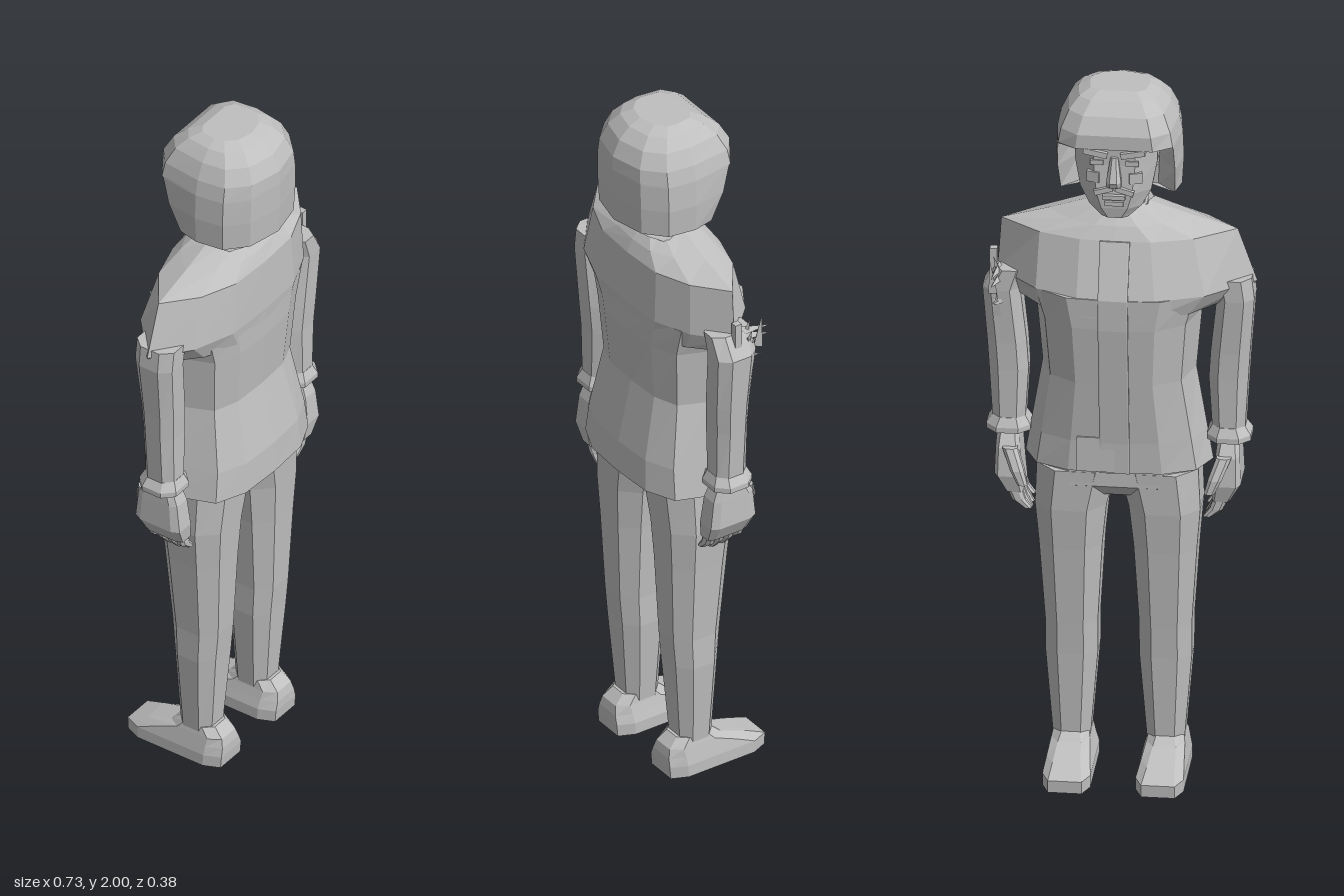
import * as THREE from 'three';

const grey = new THREE.MeshStandardMaterial({ color: 0xbfbfbf, flatShading: true });
grey.name = 'plain grey';
const greySheet = new THREE.MeshStandardMaterial({ color: 0xbfbfbf, flatShading: true, side: THREE.DoubleSide });
greySheet.name = 'plain grey';

// Skin a stack of rings (bottom to top, each running from +x towards +z) and cap both ends
function loft(rings) {
  const n = rings[0].length, pos = rings.flat(2), idx = [];
  for (let i = 0; i < rings.length - 1; i++) {
    for (let j = 0; j < n; j++) {
      const a = i * n + j, b = i * n + (j + 1) % n;
      idx.push(a, a + n, b, b, a + n, b + n);
    }
  }
  const top = (rings.length - 1) * n;
  for (const [ring, base, up] of [[rings[0], 0, false], [rings.at(-1), top, true]]) {
    const c = pos.length / 3;
    for (let k = 0; k < 3; k++) pos.push(ring.reduce((s, p) => s + p[k], 0) / n);
    for (let j = 0; j < n; j++) {
      const a = base + j, b = base + (j + 1) % n;
      if (up) idx.push(a, c, b); else idx.push(a, b, c);
    }
  }
  const g = new THREE.BufferGeometry();
  g.setAttribute('position', new THREE.Float32BufferAttribute(pos, 3));
  g.setIndex(idx);
  const flat = g.toNonIndexed();
  flat.computeVertexNormals();
  return flat;
}

// Eight-sided ring inside a box; k sets how square the corners are
const oct = (y, x0, x1, z0, z1, k = 0.5) => {
  const cx = (x0 + x1) / 2, cz = (z0 + z1) / 2, w = (x1 - x0) / 2, d = (z1 - z0) / 2;
  return [[1, -k], [1, k], [k, 1], [-k, 1], [-1, k], [-1, -k], [-k, -1], [k, -1]]
    .map(([u, v]) => [cx + u * w, y, cz + v * d]);
};

// Symmetric ring from half-outline factors; back is +z, front is -z
const bodyRing = (outline, y, w, zBack, zFront, zMid = 0.015, wLeft = w) => {
  const left = outline.map(([u, v]) => [u * wLeft, v]);
  const right = outline.slice(1, -1).reverse().map(([u, v]) => [-u * w, v]);
  // outline runs from front centre round the +x side to back centre
  return [...left, ...right].map(([x, v]) => [x, y, zMid + (v > 0 ? v * (zBack - zMid) : -v * (zFront - zMid))]);
};

const TRUNK = [[0, -1], [0.5, -0.96], [0.85, -0.65], [1, 0], [0.84, 0.72], [0.5, 0.96], [0, 1]];
const YOKE = [[0, -1], [0.3, -0.97], [0.65, -0.68], [1, 0], [0.72, 0.62], [0.4, 0.95], [0, 1]];

export function createModel() {
  const model = new THREE.Group();
  const add = (name, geo, parent = model, mat = grey) => {
    const m = new THREE.Mesh(geo, mat);
    m.name = name;
    parent.add(m);
    return m;
  };
  const box = (name, w, h, d, x, y, z, parent = model) => {
    const m = add(name, new THREE.BoxGeometry(w, h, d), parent);
    m.position.set(x, y, z);
    return m;
  };

  // Jacket body and the broad shoulder yoke; its left side is torn in
  add('jacketBody', loft([
    [0.91, 0.25, 0.17, -0.105], [1.0, 0.235, 0.165, -0.11], [1.18, 0.205, 0.125, -0.13],
    [1.35, 0.22, 0.14, -0.15], [1.44, 0.25, 0.142, -0.155],
  ].map(([y, w, b, f]) => bodyRing(TRUNK, y, w, b, f))));
  add('shoulderYoke', loft([
    [1.385, 0.3, 0.14, -0.152, 0.29], [1.44, 0.367, 0.144, -0.152, 0.325], [1.59, 0.315, 0.137, -0.1, 0.315],
    [1.625, 0.19, 0.12, -0.08, 0.19], [1.66, 0.08, 0.09, -0.05, 0.08],
  ].map(([y, w, b, f, wl]) => bodyRing(YOKE, y, w, b, f, 0.015, wl))));

  // Front placket following the chest
  const strip = [[0.91, -0.105], [1.0, -0.11], [1.18, -0.13], [1.35, -0.15], [1.44, -0.153], [1.59, -0.1]];
  add('jacketPlacket', loft(strip.map(([y, z]) => oct(y, -0.04, 0.04, z - 0.004, z + 0.015, 0.9))));
  box('hemFlap', 0.1, 0.1, 0.008, 0.05, 0.965, -0.109);

  // Collar and neck
  const collar = add('collar', new THREE.CylinderGeometry(0.08, 0.095, 0.045, 10, 1, true), model, greySheet);
  collar.position.set(0, 1.65, 0.03);
  collar.rotation.x = -0.4;
  add('neck', loft([oct(1.6, -0.07, 0.07, -0.03, 0.08), oct(1.76, -0.065, 0.065, -0.02, 0.07)]));

  // Trousers
  add('trouserSeat', loft([
    oct(0.82, -0.1, 0.1, -0.05, 0.07), oct(0.86, -0.205, 0.205, -0.088, 0.115, 0.6),
    oct(0.95, -0.2, 0.2, -0.09, 0.125, 0.6),
  ]));

  for (const s of [1, -1]) {
    const side = s > 0 ? 'left' : 'right';
    // Rings are given for +x and mirrored for the other side
    const ring = (y, x0, x1, z0, z1, k) => s > 0 ? oct(y, x0, x1, z0, z1, k) : oct(y, -x1, -x0, z0, z1, k);

    add(side + 'TrouserLeg', loft([
      ring(0.09, 0.075, 0.175, -0.03, 0.07), ring(0.34, 0.055, 0.195, -0.043, 0.09),
      ring(0.43, 0.055, 0.195, -0.05, 0.098), ring(0.66, 0.042, 0.21, -0.07, 0.108),
      ring(0.78, 0.03, 0.22, -0.083, 0.115), ring(0.9, 0.0, 0.215, -0.09, 0.122),
    ]));

    // Shoe: sole, upper sloping to the toe, ankle opening
    add(side + 'Shoe', loft([
      ring(0, 0.06, 0.188, -0.188, 0.112, 0.7), ring(0.035, 0.06, 0.188, -0.19, 0.115, 0.7),
      ring(0.06, 0.068, 0.183, -0.13, 0.114, 0.65), ring(0.085, 0.075, 0.178, -0.055, 0.108, 0.6),
      ring(0.11, 0.08, 0.172, -0.025, 0.08, 0.5),
    ]));

    // Sleeve and flared cuff
    add(side + 'Sleeve', loft([
      ring(0.99, 0.25, 0.335, -0.028, 0.065), ring(1.16, 0.24, 0.345, -0.03, 0.066),
      ring(1.24, 0.245, 0.35, -0.033, 0.07), ring(1.4, 0.262, 0.362, -0.045, 0.075),
      ring(1.46, 0.25, s > 0 ? 0.325 : 0.355, -0.045, 0.075),
    ]));
    add(side + 'Cuff', loft([
      ring(0.98, 0.235, 0.352, -0.042, 0.077), ring(0.995, 0.235, 0.352, -0.042, 0.077),
      ring(1.02, 0.25, 0.335, -0.03, 0.066),
    ]));

    // Hand with curled fingers and a thumb
    const hand = new THREE.Group();
    hand.name = side + 'Hand';
    model.add(hand);
    add('palm', loft([
      ring(0.81, 0.25, 0.3, -0.045, 0.078, 0.7), ring(0.86, 0.255, 0.328, -0.058, 0.085, 0.7),
      ring(0.94, 0.26, 0.325, -0.05, 0.075, 0.7), ring(0.99, 0.265, 0.322, -0.02, 0.055, 0.6),
    ]), hand);
    for (let i = 0; i < 4; i++) {
      const z = 0.06 - i * 0.03, drop = i === 0 || i === 3 ? 0.01 : 0;
      add('finger', loft([
        ring(0.752 + drop, 0.228, 0.25, z - 0.012, z + 0.01), ring(0.785, 0.245, 0.28, z - 0.014, z + 0.012),
        ring(0.83, 0.26, 0.3, z - 0.014, z + 0.012),
      ]), hand);
    }
    add('thumb', loft([
      ring(0.85, 0.235, 0.262, -0.09, -0.065), ring(0.89, 0.245, 0.282, -0.088, -0.05),
      ring(0.945, 0.265, 0.305, -0.065, -0.03),
    ]), hand);
  }

  // Torn cloth on the left upper arm
  const tear = new THREE.Group();
  tear.name = 'tornSleeve';
  model.add(tear);
  let seed = 7;
  const rand = () => (seed = (seed * 16807) % 2147483647) / 2147483647;
  for (let i = 0; i < 18; i++) {
    const shard = add('clothShard', new THREE.ConeGeometry(0.014, 0.06 + rand() * 0.04, 3), tear);
    shard.position.set(0.315 + rand() * 0.02, 1.29 + rand() * 0.18, 0.03 - rand() * 0.1);
    shard.rotation.set(rand() * 2.4 - 1.9, 0, -0.3 * rand());
  }
  box('clothStrip', 0.02, 0.22, 0.02, 0.335, 1.39, 0.015, tear);

  // Head
  const head = new THREE.Group();
  head.name = 'head';
  model.add(head);
  add('face', loft([
    oct(1.665, -0.035, 0.035, -0.11, -0.06), oct(1.695, -0.07, 0.07, -0.115, 0.0),
    oct(1.74, -0.095, 0.095, -0.118, 0.05), oct(1.82, -0.11, 0.11, -0.112, 0.06),
    oct(1.92, -0.11, 0.11, -0.115, 0.06),
  ]), head);
  const nose = add('nose', loft([
    oct(1.765, -0.02, 0.02, -0.14, -0.1), oct(1.78, -0.02, 0.02, -0.146, -0.1), oct(1.845, -0.01, 0.01, -0.122, -0.1),
  ]), head);
  nose.position.z = 0.001;
  box('upperLip', 0.06, 0.012, 0.02, 0, 1.732, -0.12, head);
  box('lowerLip', 0.05, 0.012, 0.018, 0, 1.712, -0.116, head);
  for (const s of [1, -1]) {
    box('brow', 0.065, 0.016, 0.03, s * 0.05, 1.858, -0.11, head).rotation.z = s * 0.2;
    box('eye', 0.035, 0.014, 0.008, s * 0.047, 1.828, -0.112, head);
    box('moustache', 0.05, 0.014, 0.02, s * 0.028, 1.75, -0.117, head).rotation.z = -s * 0.3;
    box('cheek', 0.035, 0.03, 0.02, s * 0.055, 1.785, -0.106, head).rotation.y = -s * 0.3;
  }

  // Helmet-like hair: long at the back and sides, open round the face
  // [y, half width, back, front of sides, front centre]
  const half = (w, b, fs, fc) => [
    [0, fc], [w * 0.62, fc], [w * 0.92, fs], [w, 0.03], [w * 0.93, b * 0.6], [w * 0.6, b * 0.88], [0, b]];
  add('hair', loft([
    [1.71, 0.165, 0.18, -0.03, 0.02], [1.79, 0.17, 0.184, -0.065, 0.02], [1.865, 0.167, 0.185, -0.085, 0.02],
    [1.87, 0.166, 0.185, -0.09, -0.124], [1.91, 0.158, 0.183, -0.085, -0.124],
    [1.955, 0.137, 0.162, -0.065, -0.1], [1.985, 0.11, 0.13, -0.04, -0.065], [2.0, 0.08, 0.095, -0.015, -0.03],
  ].map(([y, w, b, fs, fc]) => {
    const h = half(w, b, fs, fc);
    return [...h, ...h.slice(1, -1).reverse().map(([x, z]) => [-x, z])].map(([x, z]) => [x, y, z]);
  })), head);

  return model;
}
